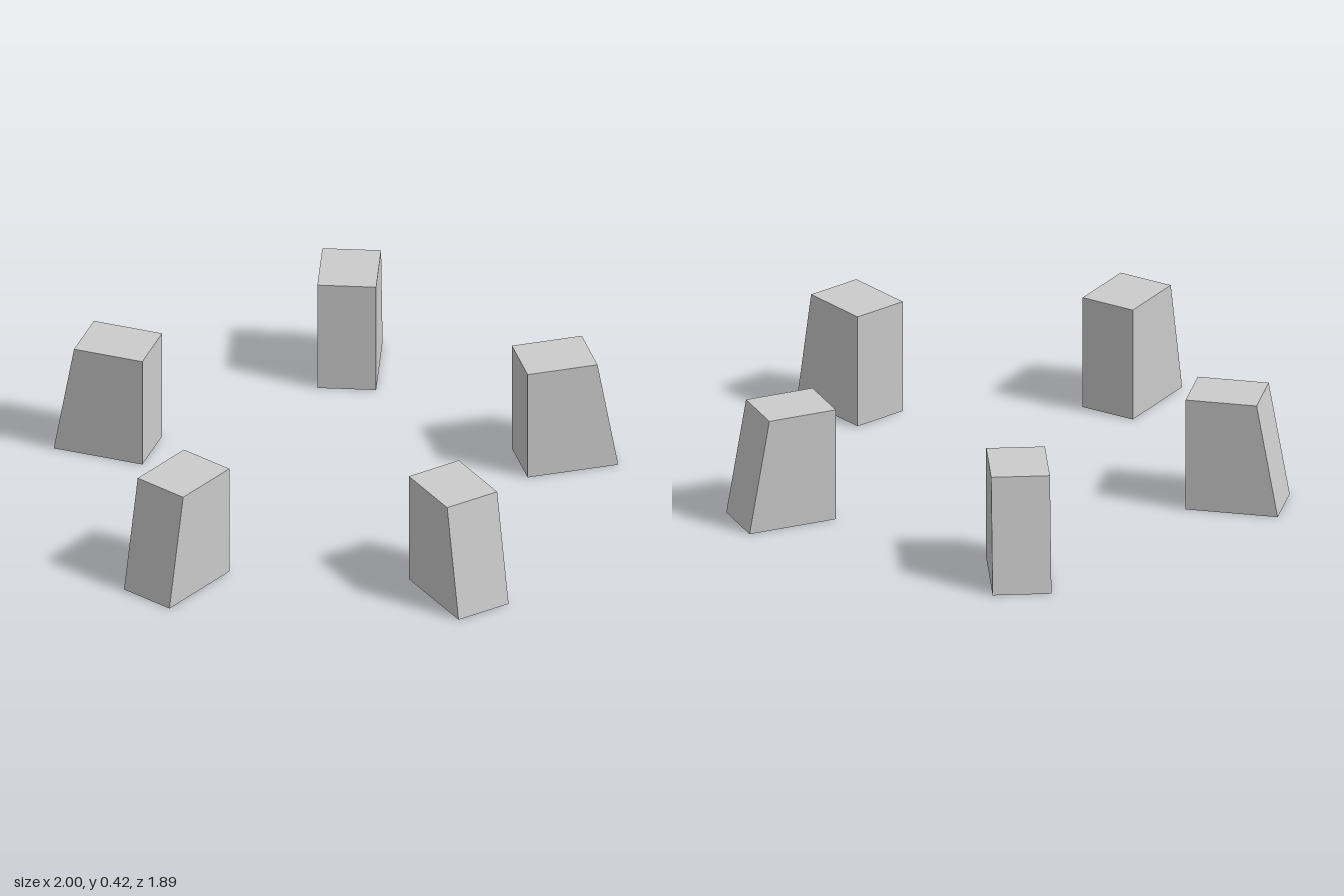
import * as THREE from 'three';

const WIDTH = 0.208, HEIGHT = 0.422, FOOT_DEPTH = 0.332, TOP_INSET = 0.076;

// Block with a vertical inner face and an outer face (+z) that leans inwards.
// The origin is the middle of the outer bottom edge.
function taperedBlock() {
  const geo = new THREE.BoxGeometry(WIDTH, HEIGHT, FOOT_DEPTH);
  geo.translate(0, HEIGHT / 2, -FOOT_DEPTH / 2);
  const pos = geo.attributes.position;
  for (let i = 0; i < pos.count; i++) {
    if (pos.getY(i) > HEIGHT / 2 && pos.getZ(i) > -FOOT_DEPTH / 2) pos.setZ(i, -TOP_INSET);
  }
  geo.computeVertexNormals();
  return geo;
}

export function createModel() {
  const group = new THREE.Group();
  group.name = 'blockRing';
  const material = new THREE.MeshStandardMaterial({ color: 0xcccccc, flatShading: true });
  const geometry = taperedBlock();

  // Ring of five blocks: name, outer foot x and z, outward heading in degrees
  const blocks = [
    ['frontBlock', -0.006, 0.948, 0],
    ['leftBlock', 0.966, 0.236, 73.5],
    ['backLeftBlock', 0.595, -0.885, 144.1],
    ['backRightBlock', -0.613, -0.88, 218.3],
    ['rightBlock', -0.968, 0.243, 288.5],
  ];
  for (const [name, x, z, heading] of blocks) {
    const block = new THREE.Mesh(geometry, material);
    block.name = name;
    block.position.set(x, 0, z);
    block.rotation.y = THREE.MathUtils.degToRad(heading);
    group.add(block);
  }
  return group;
}
